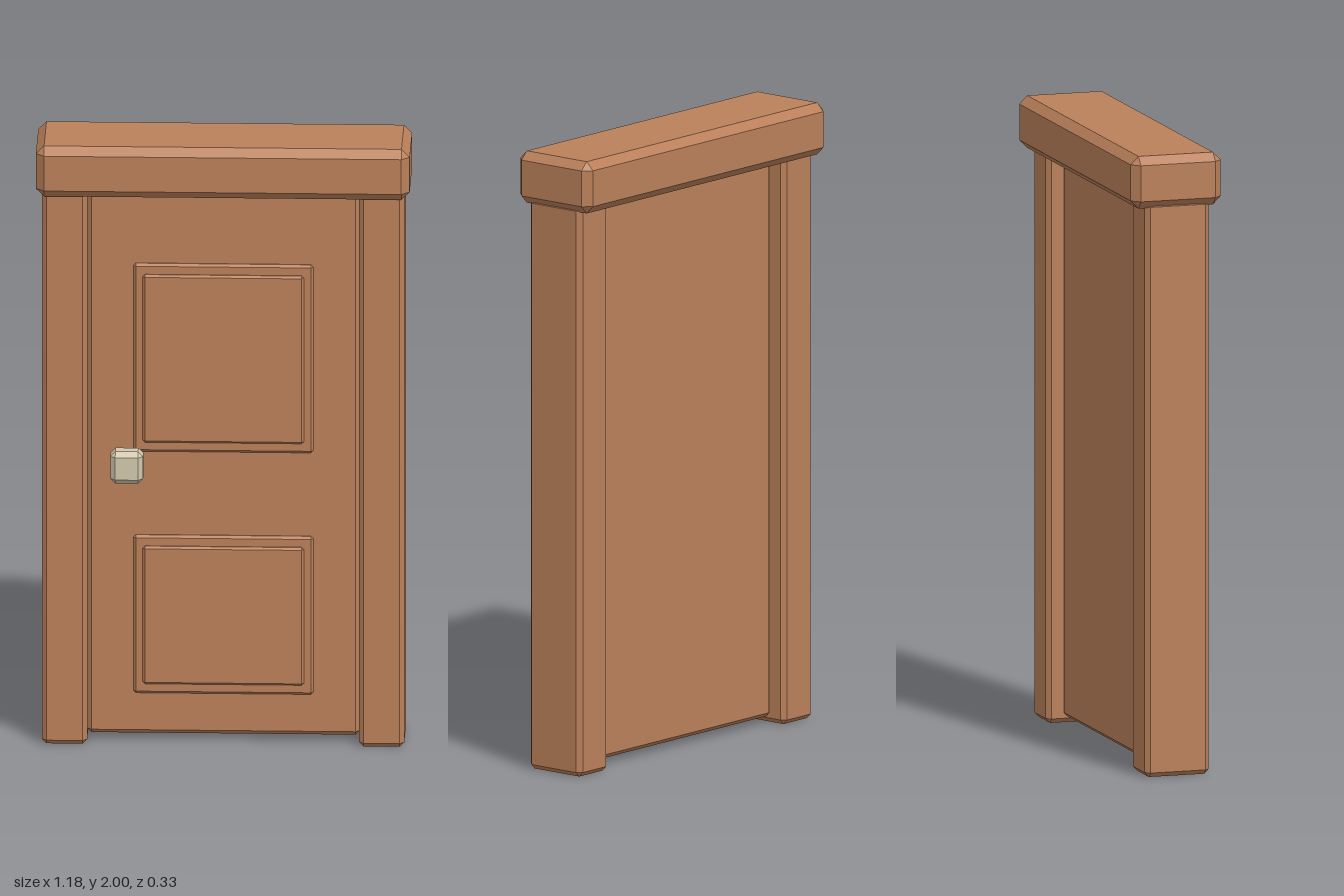
import * as THREE from 'three';
import { ConvexGeometry } from 'three/addons/geometries/ConvexGeometry.js';

// Box between two corners with every edge cut by a flat chamfer c.
function chamferBox(min, max, c) {
  const points = [];
  for (let i = 0; i < 8; i++) {
    const side = [i & 1, (i >> 1) & 1, (i >> 2) & 1];
    // Each corner becomes three points, one on each adjoining face.
    for (let face = 0; face < 3; face++) {
      const p = side.map((s, axis) => {
        const inset = axis === face ? 0 : c;
        return s ? max[axis] - inset : min[axis] + inset;
      });
      points.push(new THREE.Vector3(...p));
    }
  }
  return new ConvexGeometry(points);
}

export function createModel() {
  const wood = new THREE.MeshStandardMaterial({ color: 0xba805a });
  wood.name = 'wood';
  const metal = new THREE.MeshStandardMaterial({ color: 0xd2c7ad });
  metal.name = 'paleMetal';

  const door = new THREE.Group();
  door.name = 'door';

  const add = (name, material, min, max, c) => {
    const mesh = new THREE.Mesh(chamferBox(min, max, c), material);
    mesh.name = name;
    door.add(mesh);
  };

  // Frame
  add('lintel', wood, [-0.592, 1.832, -0.165], [0.592, 2, 0.135], 0.026);
  add('leftPost', wood, [0.43, 0, -0.117], [0.574, 1.85, 0.097], 0.015);
  add('rightPost', wood, [-0.574, 0, -0.117], [-0.43, 1.85, 0.097], 0.015);

  // Door leaf
  add('doorLeaf', wood, [-0.432, 0.022, -0.065], [0.432, 1.83, 0.045], 0.014);

  // Raised panels, each a border with a smaller field on top
  for (const [label, bottom, top] of [['upper', 0.965, 1.592], ['lower', 0.16, 0.687]]) {
    add(label + 'PanelBorder', wood, [-0.285, bottom, 0.02], [0.285, top, 0.056], 0.008);
    add(label + 'PanelField', wood, [-0.255, bottom + 0.034, 0.03], [0.255, top - 0.034, 0.067], 0.007);
  }

  // Handle
  add('handleStem', metal, [-0.318, 0.928, 0.035], [-0.288, 0.958, 0.11], 0.004);
  add('handleKnob', metal, [-0.355, 0.89, 0.092], [-0.251, 0.996, 0.163], 0.016);

  return door;
}
